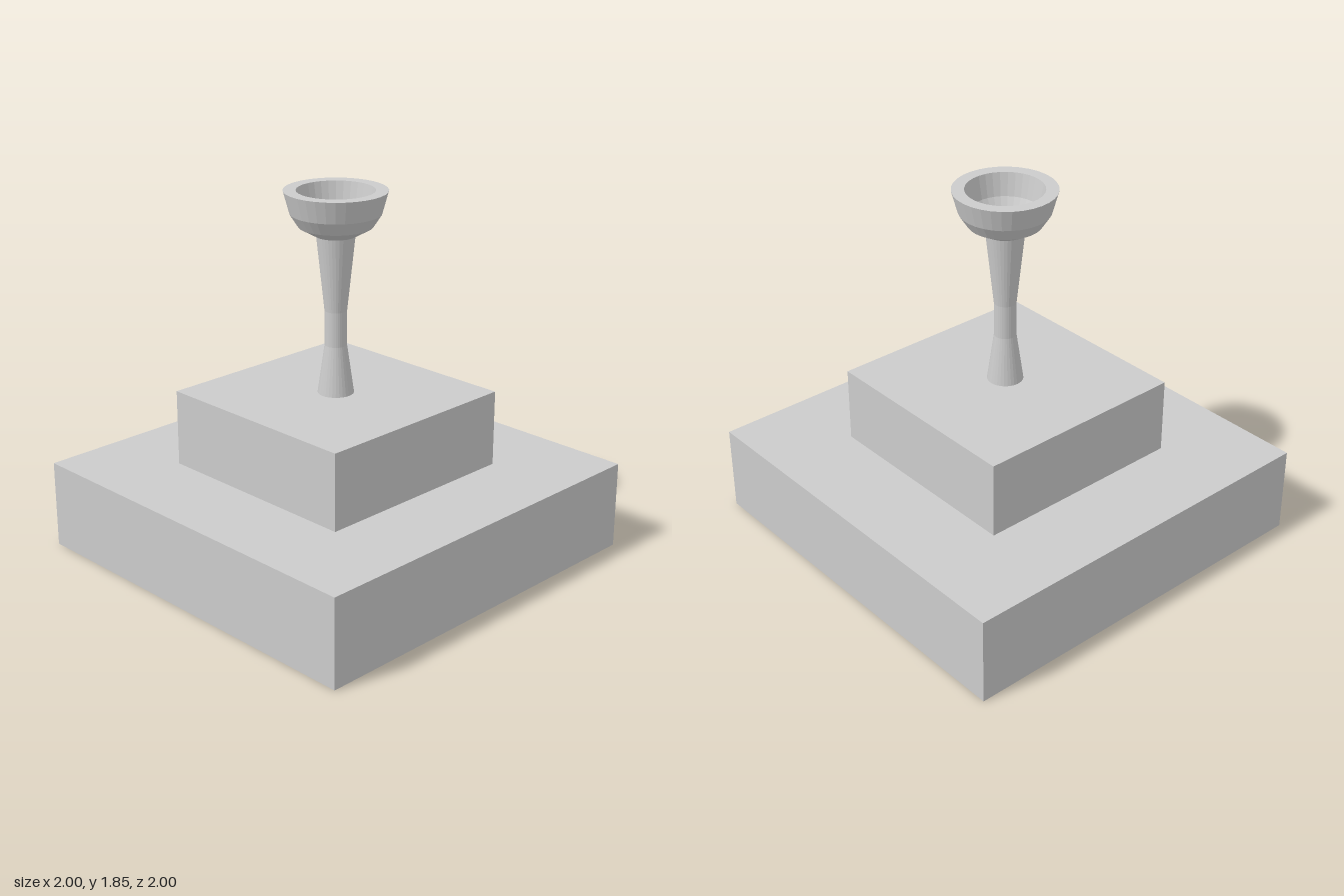
import * as THREE from 'three';

const SIDES = 32;

export function createModel() {
  const group = new THREE.Group();
  const material = new THREE.MeshStandardMaterial({ color: 0xcccccc, flatShading: true });

  const add = (name, geometry) => {
    const mesh = new THREE.Mesh(geometry, material);
    mesh.name = name;
    group.add(mesh);
    return mesh;
  };
  const slab = (name, width, y0, y1) => {
    add(name, new THREE.BoxGeometry(width, y1 - y0, width)).position.y = (y0 + y1) / 2;
  };
  // Profiles are [radius, height], bottom to top on the outside
  const turned = (name, profile) =>
    add(name, new THREE.LatheGeometry(profile.map(([r, y]) => new THREE.Vector2(r, y)), SIDES));

  // Stepped square pedestal
  slab('base', 2, 0, 0.447);
  slab('upperStep', 1.11, 0.447, 0.834);

  // Waisted stem, closed on top
  turned('stem', [
    [0.09, 0.834], [0.055, 1.08], [0.055, 1.255], [0.095, 1.635], [0, 1.635],
  ]);

  // Hollow cup: outer wall, flat rim, inner wall, floor
  turned('cup', [
    [0, 1.63], [0.1, 1.63], [0.18, 1.675], [0.222, 1.74], [0.252, 1.85],
    [0.19, 1.85], [0.167, 1.735], [0.14, 1.69], [0.09, 1.65], [0, 1.65],
  ]);

  return group;
}
